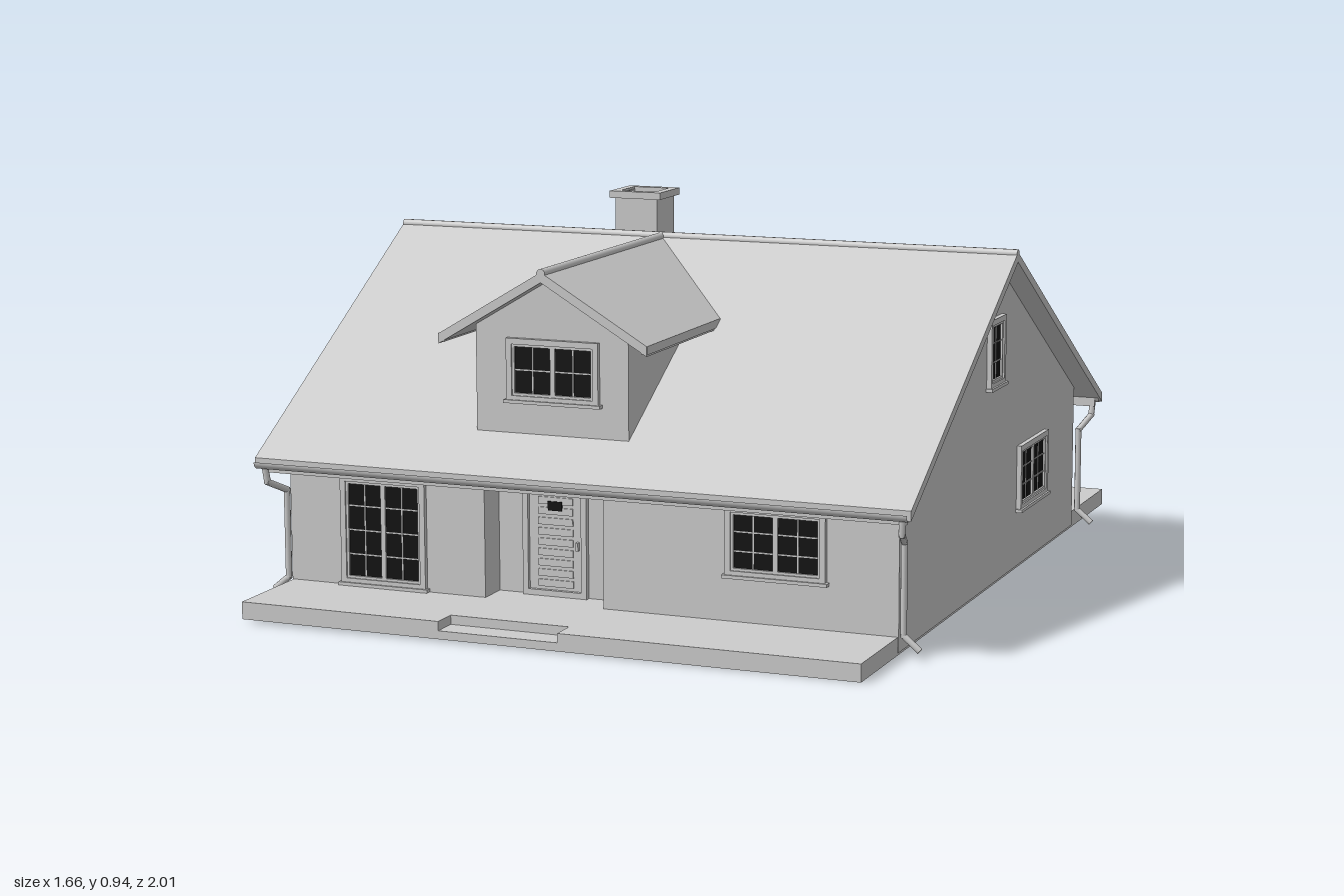
import * as THREE from 'three';

const grey = new THREE.MeshStandardMaterial({ color: 0xcccccc });
const dark = new THREE.MeshStandardMaterial({ color: 0x111111 });

const CZ = 0.035;      // ridge line in z
const RIDGE = 0.85;
const SLOPE = 0.594;   // shared by main roof and dormer
const BASE = 0.021;

function add(parent, name, geometry, material = grey) {
  const mesh = new THREE.Mesh(geometry, material);
  mesh.name = name;
  parent.add(mesh);
  return mesh;
}

function box(parent, name, w, h, d, x, y, z, material) {
  return add(parent, name, new THREE.BoxGeometry(w, h, d).translate(x, y, z), material);
}

const shapeOf = pts => new THREE.Shape(pts.map(p => new THREE.Vector2(...p)));
const extrude = (shape, depth) => new THREE.ExtrudeGeometry(shape, { depth, bevelEnabled: false });

// (z, y) profile extruded between two x positions
function alongX(pts, x0, x1) {
  return extrude(shapeOf(pts), x1 - x0).rotateY(-Math.PI / 2).translate(x1, 0, 0);
}

// Gabled strip, half width w, centred on c
function chevron(c, w, ridge, t) {
  const e = ridge - SLOPE * w;
  return [[c - w, e - t], [c, ridge - t], [c + w, e - t], [c + w, e], [c, ridge], [c - w, e]];
}

// Rectangular ring in the xy plane
function ring(w, h, border, depth) {
  const rect = (a, b) => [[-a, -b], [a, -b], [a, b], [-a, b]];
  const s = shapeOf(rect(w / 2, h / 2));
  s.holes.push(shapeOf(rect(w / 2 - border, h / 2 - border)));
  return extrude(s, depth);
}

// Straight round pipe through a list of points
function pipe(parent, name, pts, r) {
  const g = new THREE.Group();
  g.name = name;
  parent.add(g);
  for (let i = 0; i + 1 < pts.length; i++) {
    const a = new THREE.Vector3(...pts[i]), b = new THREE.Vector3(...pts[i + 1]);
    const d = b.clone().sub(a);
    const m = add(g, 'pipeSection', new THREE.CylinderGeometry(r, r, d.length() + r, 8));
    m.position.copy(a).add(b).multiplyScalar(0.5);
    m.quaternion.setFromUnitVectors(new THREE.Vector3(0, 1, 0), d.normalize());
  }
}

// Glazed unit facing +z: casing, sashes, dark panes and glazing bars
function glazing(parent, name, w, h, sashes, rows, x, y, z, turn = 0) {
  const g = new THREE.Group();
  g.name = name;
  add(g, 'casing', ring(w, h, 0.014, 0.016).translate(0, 0, -0.004));
  box(g, 'glass', w - 0.02, h - 0.02, 0.006, 0, 0, 0, dark);
  const sw = (w - 0.028) / sashes, sh = h - 0.028;
  for (let i = 0; i < sashes; i++) {
    const sx = (i - (sashes - 1) / 2) * sw;
    add(g, 'sash', ring(sw, sh, 0.006, 0.008).translate(sx, 0, 0));
    box(g, 'verticalBar', 0.003, sh, 0.004, sx, 0, 0.003);
    for (let r = 1; r < rows; r++)
      box(g, 'horizontalBar', sw, 0.003, 0.004, sx, (r / rows - 0.5) * sh, 0.003);
  }
  box(g, 'sill', w + 0.012, 0.008, 0.022, 0, -h / 2, 0.006);
  g.position.set(x, y, z);
  g.rotation.y = turn;
  parent.add(g);
}

export function createModel() {
  const model = new THREE.Group();
  model.name = 'house';

  // Ground slab with a notch for the entrance step (plan in x, -z)
  const plan = [[-0.775, 1], [-0.775, -1], [-0.26, -1], [-0.26, -0.935], [0.04, -0.935],
    [0.04, -1], [0.768, -1], [0.768, 1]];
  add(model, 'groundSlab', extrude(shapeOf(plan), 0.042).rotateX(-Math.PI / 2).translate(0, BASE, 0));
  box(model, 'entranceStep', 0.3, 0.02, 0.065, -0.11, BASE + 0.01, 0.9675);

  // Walls, the middle bay set back for the entrance
  const backZ = -0.685, frontZ = 0.75, doorZ = 0.67;
  const under = z => RIDGE - 0.012 - SLOPE * Math.abs(z - CZ);
  const bay = (x0, x1, f) => add(model, 'walls', alongX(
    [[backZ, BASE + 0.006], [f, BASE + 0.006], [f, under(f)], [CZ, under(CZ)], [backZ, under(backZ)]], x0, x1));
  bay(-0.778, -0.26, frontZ);
  bay(-0.26, 0.045, doorZ);
  bay(0.045, 0.77, frontZ);

  // Main roof, ridge cap and eaves
  add(model, 'mainRoof', alongX(chevron(CZ, 0.8, RIDGE, 0.024), -0.825, 0.825));
  add(model, 'ridgeCap', new THREE.CylinderGeometry(0.011, 0.011, 1.65, 10)
    .rotateZ(Math.PI / 2).translate(0, RIDGE - 0.004, CZ));
  const eaveY = RIDGE - SLOPE * 0.8;
  for (const s of [-1, 1]) {
    box(model, 'fascia', 1.62, 0.035, 0.01, 0, eaveY - 0.018, CZ + s * 0.785);
    // Half round gutter, open upwards
    const gutter = new THREE.CylinderGeometry(0.018, 0.018, 1.64, 10, 1, true, 0, Math.PI)
      .rotateZ(-Math.PI / 2).translate(0, eaveY - 0.008, CZ + s * 0.798);
    add(model, 'gutter', gutter, new THREE.MeshStandardMaterial({ color: 0xcccccc, side: THREE.DoubleSide }));
    // Downspouts at both corners of this eave
    for (const t of [-1, 1]) {
      const wz = CZ + s * 0.722, gz = CZ + s * 0.792;
      pipe(model, 'downspout', [[t * 0.803, eaveY - 0.02, gz], [t * 0.8, 0.315, gz - s * 0.005],
        [t * 0.784, 0.285, wz], [t * 0.784, 0.07, wz], [t * 0.82, 0.04, wz]], 0.008);
    }
  }

  // Dormer with its own gable roof
  const DX = -0.105, dormerFront = 0.7;
  const top = 0.835, dw = 0.195;
  add(model, 'dormerWalls', extrude(shapeOf([[DX - dw, 0.43], [DX + dw, 0.43],
    [DX + dw, top - SLOPE * dw], [DX, top], [DX - dw, top - SLOPE * dw]]), dormerFront - 0.1).translate(0, 0, 0.1));
  add(model, 'dormerRoof', extrude(shapeOf(chevron(DX, 0.265, 0.848, 0.024)), 0.72).translate(0, 0, 0.037));
  add(model, 'dormerRidgeCap', new THREE.CylinderGeometry(0.011, 0.011, 0.72, 10)
    .rotateX(Math.PI / 2).translate(DX, 0.845, 0.397));
  for (const s of [-1, 1])
    box(model, 'dormerGutter', 0.016, 0.02, 0.45, DX + s * 0.259, 0.681, 0.53);
  glazing(model, 'dormerWindow', 0.235, 0.15, 2, 2, -0.1, 0.607, dormerFront);

  // Hollow chimney with a projecting cap
  const chimney = new THREE.Group();
  chimney.name = 'chimney';
  add(chimney, 'chimneyShaft', ring(0.116, 0.112, 0.012, 0.28).rotateX(-Math.PI / 2).translate(0, 0.65, 0));
  add(chimney, 'chimneyCap', ring(0.14, 0.132, 0.022, 0.018).rotateX(-Math.PI / 2).translate(0, 0.917, 0));
  box(chimney, 'flueFloor', 0.1, 0.02, 0.1, 0, 0.74, 0);
  chimney.position.set(-0.242, 0, -0.182);
  model.add(chimney);

  // Front door with boards and a small pane
  const door = new THREE.Group();
  door.name = 'frontDoor';
  add(door, 'doorCasing', ring(0.165, 0.27, 0.014, 0.014));
  box(door, 'doorLeaf', 0.14, 0.25, 0.008, 0, 0, 0);
  for (let i = 0; i < 9; i++)
    box(door, 'doorBoard', 0.09, 0.017, 0.006, 0, -0.105 + i * 0.025, 0.004);
  box(door, 'doorPane', 0.036, 0.022, 0.006, 0, 0.083, 0.007, dark);
  box(door, 'doorHandle', 0.006, 0.02, 0.014, 0.058, -0.01, 0.008);
  door.position.set(-0.11, 0.198, doorZ);
  model.add(door);

  // Front glazing
  glazing(model, 'frontTerraceDoor', 0.225, 0.265, 2, 4, -0.525, 0.2, frontZ);
  glazing(model, 'frontWindow', 0.245, 0.165, 2, 3, 0.475, 0.253, frontZ);

  // Back glazing
  glazing(model, 'backWindow', 0.245, 0.165, 2, 3, 0.48, 0.253, backZ, Math.PI);
  glazing(model, 'backWindow', 0.245, 0.165, 2, 3, -0.1, 0.253, backZ, Math.PI);
  glazing(model, 'backTerraceDoor', 0.225, 0.265, 2, 4, -0.56, 0.2, backZ, Math.PI);

  // Gable glazing
  glazing(model, 'leftGableWindow', 0.12, 0.17, 1, 3, 0.77, 0.605, 0.04, Math.PI / 2);
  glazing(model, 'leftSideWindow', 0.245, 0.165, 2, 3, 0.77, 0.253, -0.288, Math.PI / 2);
  glazing(model, 'rightGableWindow', 0.12, 0.17, 1, 3, -0.778, 0.605, 0.03, -Math.PI / 2);
  glazing(model, 'rightSideWindow', 0.12, 0.17, 1, 3, -0.778, 0.25, 0.03, -Math.PI / 2);

  // The whole house sits very slightly out of level
  model.rotation.set(0.017, -0.004, -0.005);
  const root = new THREE.Group();
  root.name = 'houseModel';
  root.add(model);
  return root;
}
